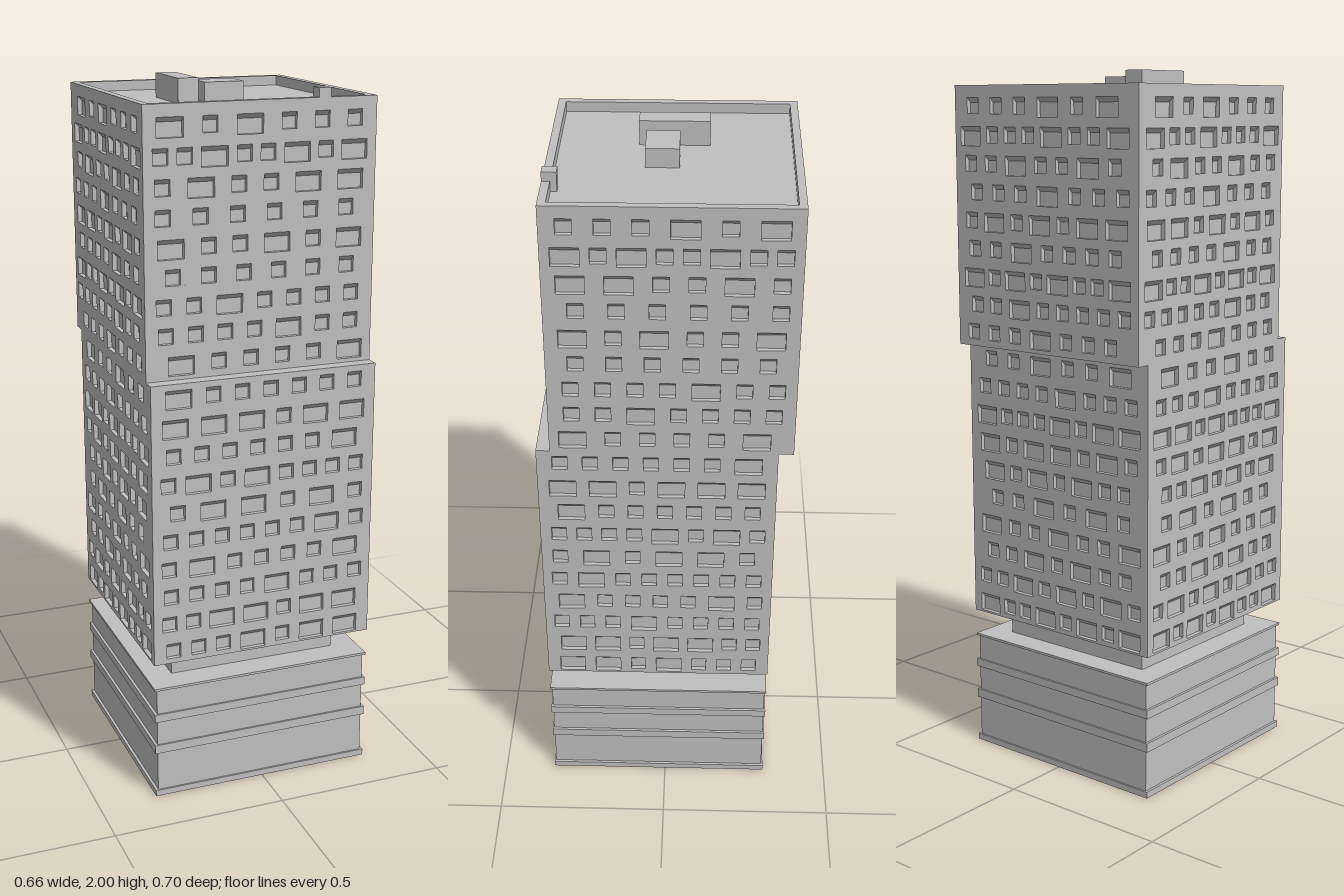
import * as THREE from 'three';
import { mergeGeometries } from 'three/addons/utils/BufferGeometryUtils.js';

const concrete = new THREE.MeshStandardMaterial({ color: 0xc0c0c0 });
concrete.name = 'concrete grey';

// Window rows from the top down: left margin, windows (S small, W wide), right margin
const upperA = ['7 WSWSSS 8', '5 SSWSSWSW 5', '6 SWSSWW 7', '6 SSSSSS 12', '7 WSSWSW 7',
  '11 SSSSSS 11', '6 SSWSSSS 8', '7 SSSSWSS 8', '12 WSSSSW 5'];
const lowerA = ['8 WSSSSSS 8', '6 WWWSWW 6', '8 SSSSSSW 10', '5 SWSWSSSS 6', '10 SWWSWS 6',
  '6 SSSSSSWS 5', '5 SWSSSSW 8', '6 SSSSWSSS 5', '5 SSWWSWW 8', '7 SSSWSWW 7'];
const upperB = ['13 WSWSSS 9', '6 WSSWSSSW 4', '11 SWSSWSS 7', '6 SSSWSSS 11', '7 WWSWSWS 7',
  '11 SSSSWSS 9', '5 WSSWSWSW 5', '5 SSSSSWSS 10', '14 SSSWSSS 7'];
const lowerB = ['11 WSSWSS 12', '7 SSSWSSSS 7', '5 WWSWSSSW 5', '7 SWSWWSW 7', '12 SSWSWSW 10',
  '12 SWSWSS 15', '5 WSSWSSW 7', '11 SSWSWSS 11', '5 SWSWSWSS 5', '5 WSWSWSSW 5'];
const flip = rows => rows.map(r => [...r.split(' ')].reverse().map(s => /S|W/.test(s) ? [...s].reverse().join('') : s).join(' '));

// Shallow recess: pane, sill, jambs and a sloping head
function recess(x0, x1, y0, y1) {
  const d = -0.013, h = y1 - 0.013;
  const a = [x0, y0, 0], b = [x1, y0, 0], c = [x1, y1, 0], e = [x0, y1, 0];
  const A = [x0, y0, d], B = [x1, y0, d], C = [x1, h, d], E = [x0, h, d];
  const quads = [[A, B, C, E], [a, b, B, A], [b, c, C, B], [c, e, E, C], [e, a, A, E]];
  const g = new THREE.BufferGeometry();
  const pos = quads.flatMap(([p, q, r, s]) => [p, q, r, p, r, s]).flat();
  g.setAttribute('position', new THREE.Float32BufferAttribute(pos, 3));
  g.computeVertexNormals();
  return g;
}

// Flat wall centred on x with window openings
function facade(width, y0, y1, rows, top, pitch) {
  const wall = new THREE.Shape([[-width / 2, y0], [width / 2, y0], [width / 2, y1], [-width / 2, y1]]
    .map(p => new THREE.Vector2(...p)));
  const parts = [];
  rows.forEach((row, i) => {
    const [l, kinds, r] = row.split(' ');
    const sizes = [...kinds].map(k => (k === 'W' ? 0.074 : 0.042));
    const total = sizes.reduce((s, v) => s + v, 0);
    const gap = (width - (+l + +r) * 0.0053 - total) / (sizes.length - 1);
    let x = -width / 2 + l * 0.0053;
    for (const w of sizes) {
      const t = top - i * pitch, b = t - (w > 0.05 ? 0.053 : 0.044);
      wall.holes.push(new THREE.Path([[x, b], [x, t], [x + w, t], [x + w, b]].map(p => new THREE.Vector2(...p))));
      parts.push(recess(x, x + w, b, t));
      x += w + gap;
    }
  });
  const face = new THREE.ShapeGeometry(wall).toNonIndexed();
  face.deleteAttribute('uv');
  return mergeGeometries([face, ...parts]);
}

export function createModel() {
  const model = new THREE.Group();
  model.name = 'officeTower';
  const add = (parent, name, geometry) => {
    const m = new THREE.Mesh(geometry, concrete);
    m.name = name;
    parent.add(m);
    return m;
  };
  const box = (parent, name, x0, x1, y0, y1, z0, z1) =>
    add(parent, name, new THREE.BoxGeometry(x1 - x0, y1 - y0, z1 - z0))
      .position.set((x0 + x1) / 2, (y0 + y1) / 2, (z0 + z1) / 2);

  // Four walls of a tower block, closed by thin slabs
  function block(name, y0, y1, z0, z1, rowsA, rowsB, top, pitch) {
    const g = new THREE.Group(), hx = 0.33, depth = z1 - z0, t = 0.004;
    g.name = name;
    const walls = [['frontWall', 2 * hx, rowsA, 0], ['rightWall', depth, rowsB, -1],
      ['backWall', 2 * hx, flip(rowsB), 2], ['leftWall', depth, flip(rowsA), 1]];
    for (const [wallName, width, rows, turn] of walls) {
      const wall = add(g, wallName, facade(width, y0 + t, y1 - t, rows, top, pitch));
      const a = turn * Math.PI / 2;
      wall.rotation.y = a;
      wall.position.set(Math.sin(a) * hx, 0, (z0 + z1) / 2 + Math.cos(a) * depth / 2);
    }
    box(g, 'bottomSlab', -hx, hx, y0, y0 + t, z0, z1);
    box(g, 'topSlab', -hx, hx, y1 - t, y1, z0, z1);
    model.add(g);
  }
  block('upperBlock', 1.23, 1.932, -0.349, 0.311, upperA, upperB, 1.926, 0.079);
  block('lowerBlock', 0.415, 1.23, -0.308, 0.349, lowerA, lowerB, 1.212, 0.082);

  // Roof parapet
  const rim = (x, z0, z1) => [[-x, -z1], [x, -z1], [x, -z0], [-x, -z0]].map(p => new THREE.Vector2(...p));
  const ring = new THREE.Shape(rim(0.33, -0.349, 0.311));
  ring.holes.push(new THREE.Path(rim(0.308, -0.328, 0.289)));
  const parapet = add(model, 'parapet', new THREE.ExtrudeGeometry(ring, { depth: 0.028, bevelEnabled: false }));
  parapet.rotation.x = -Math.PI / 2;
  parapet.position.y = 1.932;

  // Rooftop housings
  box(model, 'liftHousing', -0.15, -0.092, 1.932, 2, -0.111, 0.078);
  box(model, 'plantHousing', -0.066, 0.048, 1.932, 1.985, -0.032, 0.057);
  box(model, 'parapetVent', 0.16, 0.195, 1.932, 1.985, 0.272, 0.311);

  // Recessed neck and podium with projecting ledges
  box(model, 'neck', -0.253, 0.25, 0.335, 0.418, -0.234, 0.27);
  box(model, 'podium', -0.322, 0.32, 0.002, 0.339, -0.303, 0.344);
  for (const [y0, y1] of [[0, 0.018], [0.137, 0.163], [0.236, 0.26], [0.334, 0.341]])
    box(model, 'podiumLedge', -0.33, 0.328, y0, y1, -0.308, 0.349);
  return model;
}
